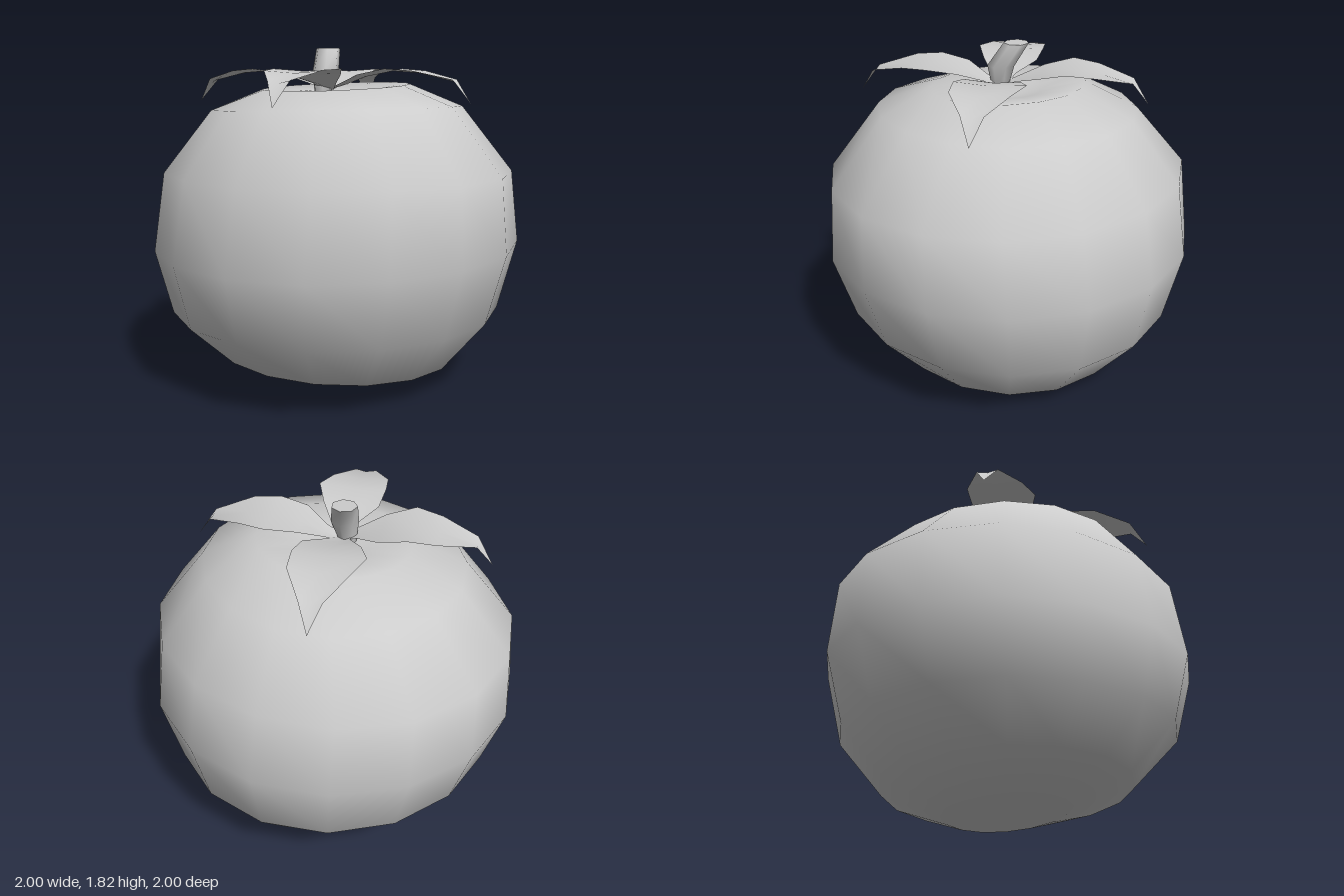
import * as THREE from 'three';
import { mergeVertices } from 'three/addons/utils/BufferGeometryUtils.js';

const gray = new THREE.MeshStandardMaterial({ color: 0xcccccc, side: THREE.DoubleSide });
gray.name = 'plainGray';

// Weld seams and recompute smooth normals
function smooth(geometry) {
  geometry.deleteAttribute('uv');
  geometry.deleteAttribute('normal');
  const welded = mergeVertices(geometry, 1e-4);
  welded.computeVertexNormals();
  return welded;
}

function part(geometry, name) {
  const mesh = new THREE.Mesh(geometry, gray);
  mesh.name = name;
  return mesh;
}

// Squat round fruit: rings of [radius x, radius z, height, tilt along x, tilt along z]
function makeFruit() {
  const rings = [
    [0, 0, 0.05, 0, 0], [0.33, 0.36, 0.035, 0, 0.035], [0.655, 0.67, 0.14, -0.01, 0.035],
    [0.89, 0.915, 0.405, 0, 0], [1, 1, 0.77, 0, -0.025], [0.98, 0.93, 1.17, 0, -0.005],
    [0.69, 0.68, 1.5, 0.02, 0], [0.41, 0.4, 1.615, 0, -0.02], [0.18, 0.18, 1.59, 0, 0],
    [0, 0, 1.55, 0, 0],
  ];
  const profile = rings.map(([r, , y]) => new THREE.Vector2(r, y));
  const geometry = new THREE.LatheGeometry(profile, 16);
  const pos = geometry.attributes.position;
  for (let i = 0; i < pos.count; i++) {
    const [rx, rz, y, tx, tz] = rings[i % rings.length];
    if (rx === 0) continue;
    const a = pos.getX(i) / rx, b = pos.getZ(i) / rx;
    pos.setXYZ(i, a * rx, y + a * tx + b * tz, b * rz);
  }
  return smooth(geometry);
}

// Leaf blade: stations of [distance, right half, left half, height], drooping at the tip
function makeLeaf() {
  const stations = [
    [0, -0.03, 0.03, 1.6], [0.09, -0.06, 0.075, 1.635], [0.21, -0.155, 0.14, 1.68],
    [0.36, -0.17, 0.195, 1.71], [0.5, -0.16, 0.145, 1.7], [0.69, -0.06, 0.055, 1.655],
    [0.777, 0, 0, 1.53],
  ];
  const geometry = new THREE.PlaneGeometry(1, 1, 2, stations.length - 1);
  const pos = geometry.attributes.position;
  stations.forEach(([d, a, b, y], i) => {
    [a, 0, b].forEach((w, j) => {
      const crease = j === 1 && i > 0 && i < 6 ? -0.012 : 0;
      pos.setXYZ(i * 3 + j, w, y + crease, d);
    });
  });
  return smooth(geometry);
}

// Bent stem through circular sections of [x, y, z, radius]
function makeStem() {
  const sections = [
    [-0.065, 1.82, 0.005, 0.067], [-0.01, 1.7, 0.062, 0.073], [-0.02, 1.56, 0.08, 0.04],
  ];
  const sides = 7;
  const geometry = new THREE.CylinderGeometry(1, 1, 1, sides, 2, true);
  const pos = geometry.attributes.position;
  for (let i = 0; i < pos.count; i++) {
    const [x, y, z, r] = sections[Math.floor(i / (sides + 1))];
    pos.setXYZ(i, x + pos.getX(i) * r, y, z + pos.getZ(i) * r);
  }
  return smooth(geometry);
}

export function createModel() {
  const group = new THREE.Group();
  group.name = 'fruit';
  group.add(part(makeFruit(), 'fruitBody'));

  // Four leaves around the stem
  const calyx = new THREE.Group();
  calyx.name = 'calyx';
  calyx.position.z = 0.05;
  const leaf = makeLeaf();
  for (let i = 0; i < 4; i++) {
    const blade = part(leaf, 'leaf' + (i + 1));
    blade.rotation.y = Math.atan2(0.44, 0.64) + i * Math.PI / 2;
    calyx.add(blade);
  }
  group.add(calyx);

  // Stem with a flat cut end
  const cut = part(new THREE.CircleGeometry(0.067, 7), 'stemCut');
  cut.rotation.set(-Math.PI / 2, 0, -Math.PI / 2);
  cut.position.set(-0.065, 1.82, 0.005);
  cut.rotation.z = -Math.PI / 2;
  group.add(part(makeStem(), 'stem'), cut);
  return group;
}
